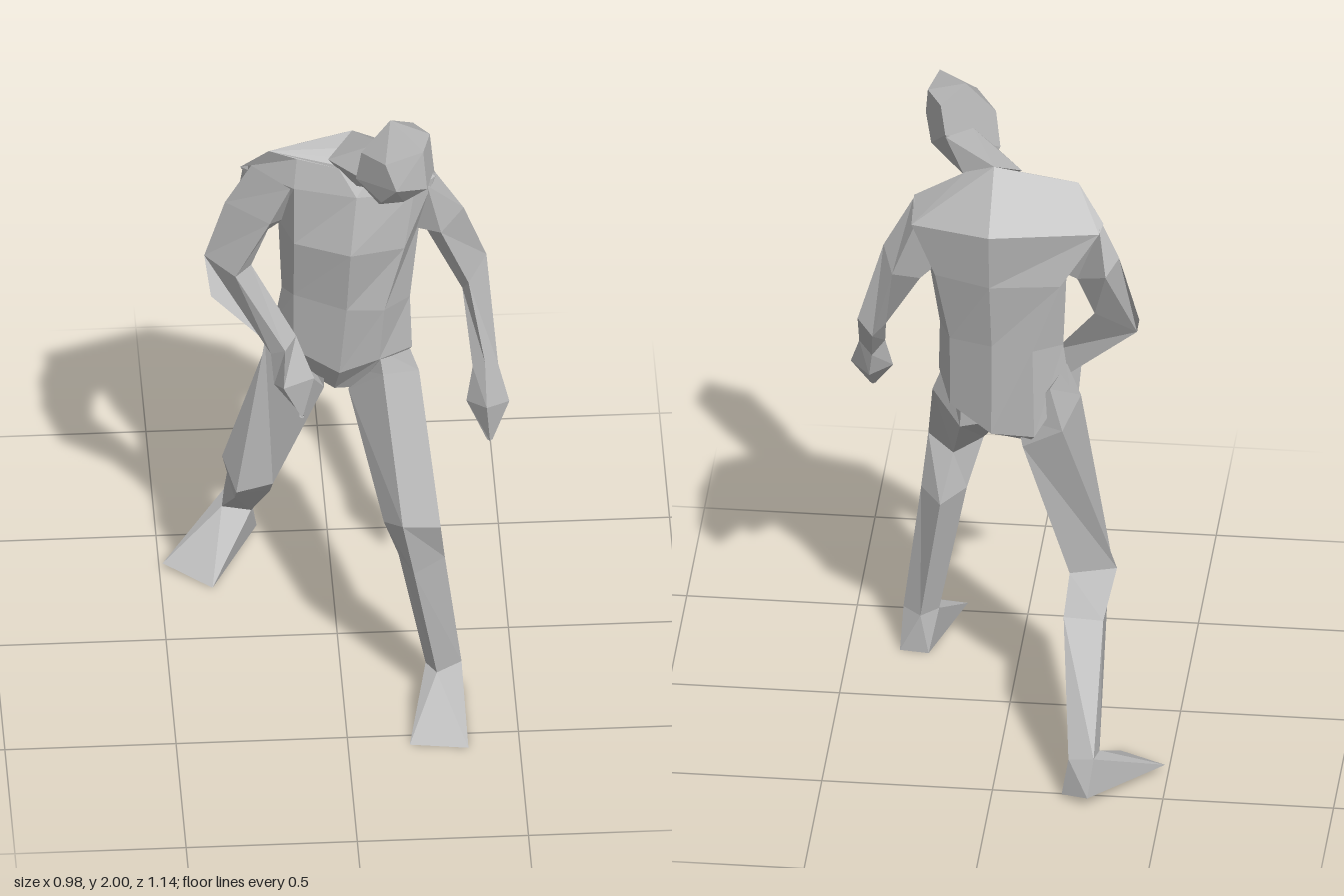
import * as THREE from 'three';
import { ConvexGeometry } from 'three/addons/geometries/ConvexGeometry.js';

const grey = new THREE.MeshStandardMaterial({ color: 0xb6b6b6, flatShading: true });
grey.name = 'clay grey';

// Skin a list of rings (each [[x,y,z], ...] with equal counts), capped at both ends
function loft(rings) {
  const tris = [];
  const n = rings[0].length;
  for (let r = 0; r < rings.length - 1; r++) {
    for (let i = 0; i < n; i++) {
      const j = (i + 1) % n;
      const a = rings[r][i], b = rings[r][j], c = rings[r + 1][j], d = rings[r + 1][i];
      tris.push([a, b, c], [a, c, d]);
    }
  }
  const last = rings[rings.length - 1];
  for (let i = 1; i < n - 1; i++) {
    tris.push([rings[0][0], rings[0][i + 1], rings[0][i]], [last[0], last[i], last[i + 1]]);
  }
  // Turn the skin outward when its signed volume is negative
  const v = (p) => new THREE.Vector3(...p);
  const volume = tris.reduce((s, [a, b, c]) => s + v(a).dot(v(b).cross(v(c))), 0);
  if (volume < 0) tris.forEach((t) => t.reverse());
  const g = new THREE.BufferGeometry();
  g.setAttribute('position', new THREE.Float32BufferAttribute(tris.flat(2), 3));
  g.computeVertexNormals();
  return g;
}

const hull = (pts) => new ConvexGeometry(pts.map((p) => new THREE.Vector3(...p)));
const tip = (x, y, z) => [[x, y, z + 0.008], [x + 0.008, y, z], [x, y, z - 0.008], [x - 0.008, y, z]];

export function createModel() {
  const model = new THREE.Group();
  model.name = 'walkingFigure';
  const add = (name, geometry) => {
    const mesh = new THREE.Mesh(geometry, grey);
    mesh.name = name;
    model.add(mesh);
  };

  // Torso rings, crotch to collar: right, front right, front, front left, left, back left, back, back right
  add('torso', loft([
    [[-0.14, 1.0, -0.08], [-0.06, 0.95, 0.01], [-0.01, 0.925, 0.03], [0.06, 0.95, 0.06],
      [0.12, 1.0, 0.03], [0.08, 0.97, -0.03], [0, 0.94, -0.06], [-0.07, 0.96, -0.11]],
    [[-0.18, 1.12, -0.05], [-0.13, 1.08, 0.04], [0, 1.04, 0.11], [0.115, 1.1, 0.13],
      [0.215, 1.09, 0.06], [0.17, 1.04, -0.06], [0.04, 1.0, -0.15], [-0.09, 1.02, -0.19]],
    [[-0.16, 1.25, -0.04], [-0.13, 1.28, 0.04], [0.02, 1.28, 0.125], [0.13, 1.28, 0.13],
      [0.21, 1.26, 0.04], [0.17, 1.27, -0.07], [0.04, 1.29, -0.14], [-0.08, 1.28, -0.14]],
    [[-0.17, 1.5, -0.04], [-0.13, 1.49, 0.07], [0.03, 1.5, 0.155], [0.19, 1.49, 0.11],
      [0.24, 1.5, 0], [0.21, 1.5, -0.1], [0.045, 1.5, -0.16], [-0.16, 1.5, -0.13]],
    [[-0.28, 1.68, -0.06], [-0.13, 1.68, 0.055], [0.05, 1.68, 0.11], [0.22, 1.67, 0.08],
      [0.285, 1.69, 0.03], [0.28, 1.66, -0.09], [0.045, 1.68, -0.18], [-0.27, 1.66, -0.09]],
    [[-0.2, 1.78, 0], [-0.12, 1.77, 0.03], [0, 1.76, 0.07], [0.1, 1.74, 0.07],
      [0.14, 1.76, 0.05], [0.13, 1.79, 0.01], [0.045, 1.83, -0.02], [-0.1, 1.8, -0.01]],
  ]));

  // Neck leaning forward to the left
  add('neck', hull([
    [-0.03, 1.78, 0.05], [0.045, 1.83, -0.02], [0.14, 1.77, 0.03], [0.05, 1.71, 0.09],
    [0.06, 1.79, 0.16], [0.12, 1.88, 0.11], [0.2, 1.85, 0.1], [0.15, 1.73, 0.15],
  ]));

  // Drooping head
  add('head', hull([
    [0.146, 2.0, 0.16], [0.215, 1.95, 0.11], [0.2, 1.86, 0.095], [0.26, 1.96, 0.18],
    [0.27, 1.86, 0.22], [0.125, 1.92, 0.27], [0.235, 1.97, 0.28], [0.155, 1.85, 0.31],
    [0.245, 1.85, 0.3], [0.06, 1.9, 0.18], [0.045, 1.79, 0.16], [0.115, 1.67, 0.13],
    [0.115, 1.76, 0.24], [0.18, 1.76, 0.24], [0.25, 1.78, 0.18],
  ]));

  // Arms: front, outer, back and inner points from shoulder to fingertip
  add('leftArm', loft([
    [[0.26, 1.67, 0.05], [0.285, 1.69, 0.01], [0.27, 1.66, -0.09], [0.2, 1.49, 0]],
    [[0.3, 1.5, 0.055], [0.37, 1.54, -0.01], [0.335, 1.5, -0.11], [0.26, 1.45, -0.04]],
    [[0.38, 1.32, 0.065], [0.44, 1.32, -0.07], [0.39, 1.3, -0.135], [0.365, 1.26, 0.01]],
    [[0.42, 1.13, 0.2], [0.46, 1.1, 0.17], [0.42, 1.07, 0.14], [0.385, 1.1, 0.18]],
    [[0.42, 1.03, 0.29], [0.49, 1.0, 0.22], [0.43, 0.99, 0.16], [0.365, 1.0, 0.21]],
    tip(0.43, 0.9, 0.27),
  ]));
  add('rightArm', loft([
    [[-0.14, 1.68, 0.055], [-0.25, 1.71, -0.025], [-0.27, 1.67, -0.08], [-0.15, 1.5, -0.04]],
    [[-0.2, 1.55, 0.05], [-0.325, 1.56, -0.05], [-0.29, 1.52, -0.1], [-0.2, 1.47, -0.03]],
    [[-0.3, 1.36, 0.05], [-0.385, 1.36, -0.06], [-0.37, 1.27, 0.02], [-0.25, 1.35, -0.02]],
    [[-0.16, 1.15, 0.14], [-0.2, 1.12, 0.11], [-0.17, 1.09, 0.07], [-0.125, 1.16, 0.08]],
    [[-0.165, 1.02, 0.15], [-0.19, 1.0, 0.1], [-0.11, 1.03, 0.06], [-0.075, 1.04, 0.13]],
    tip(-0.11, 0.9, 0.13),
  ]));

  // Left leg stepping forward: front, outer, back and inner points
  add('leftLeg', loft([
    [[0.115, 1.12, 0.11], [0.195, 1.12, 0.05], [0.14, 1.05, -0.03], [0.05, 1.0, 0.04]],
    [[0.125, 1.06, 0.15], [0.235, 1.01, 0.07], [0.145, 0.94, -0.02], [0.03, 0.93, 0.045]],
    [[0.165, 0.73, 0.455], [0.28, 0.67, 0.385], [0.2, 0.645, 0.32], [0.115, 0.68, 0.36]],
    [[0.2, 0.53, 0.42], [0.295, 0.52, 0.33], [0.23, 0.515, 0.235], [0.16, 0.53, 0.32]],
    [[0.27, 0.12, 0.36], [0.345, 0.12, 0.31], [0.29, 0.12, 0.26], [0.24, 0.12, 0.31]],
  ]));
  add('leftFoot', hull([
    [0.27, 0.12, 0.36], [0.345, 0.12, 0.31], [0.29, 0.12, 0.26], [0.24, 0.12, 0.31],
    [0.18, 0, 0.545], [0.35, 0, 0.57], [0.35, 0, 0.26], [0.265, 0, 0.25],
  ]));

  // Right leg trailing: outer front, inner front, inner back, outer back
  add('rightLeg', loft([
    [[-0.17, 1.18, -0.03], [-0.04, 1.05, 0.04], [-0.03, 1.03, -0.1], [-0.13, 1.15, -0.13]],
    [[-0.21, 1.07, -0.02], [-0.04, 0.93, 0.03], [-0.05, 0.95, -0.13], [-0.17, 1.03, -0.165]],
    [[-0.295, 0.53, 0], [-0.185, 0.52, -0.05], [-0.19, 0.54, -0.15], [-0.328, 0.56, -0.14]],
    [[-0.295, 0.45, -0.08], [-0.19, 0.44, -0.12], [-0.188, 0.48, -0.3], [-0.3, 0.45, -0.26]],
    [[-0.31, 0.13, -0.46], [-0.225, 0.12, -0.45], [-0.225, 0.13, -0.52], [-0.3, 0.14, -0.53]],
  ]));
  add('rightFoot', hull([
    [-0.31, 0.13, -0.46], [-0.225, 0.12, -0.45], [-0.225, 0.13, -0.52], [-0.3, 0.14, -0.53],
    [-0.49, 0.02, -0.34], [-0.35, 0, -0.24], [-0.285, 0.03, -0.57], [-0.205, 0.01, -0.52],
  ]));

  return model;
}
